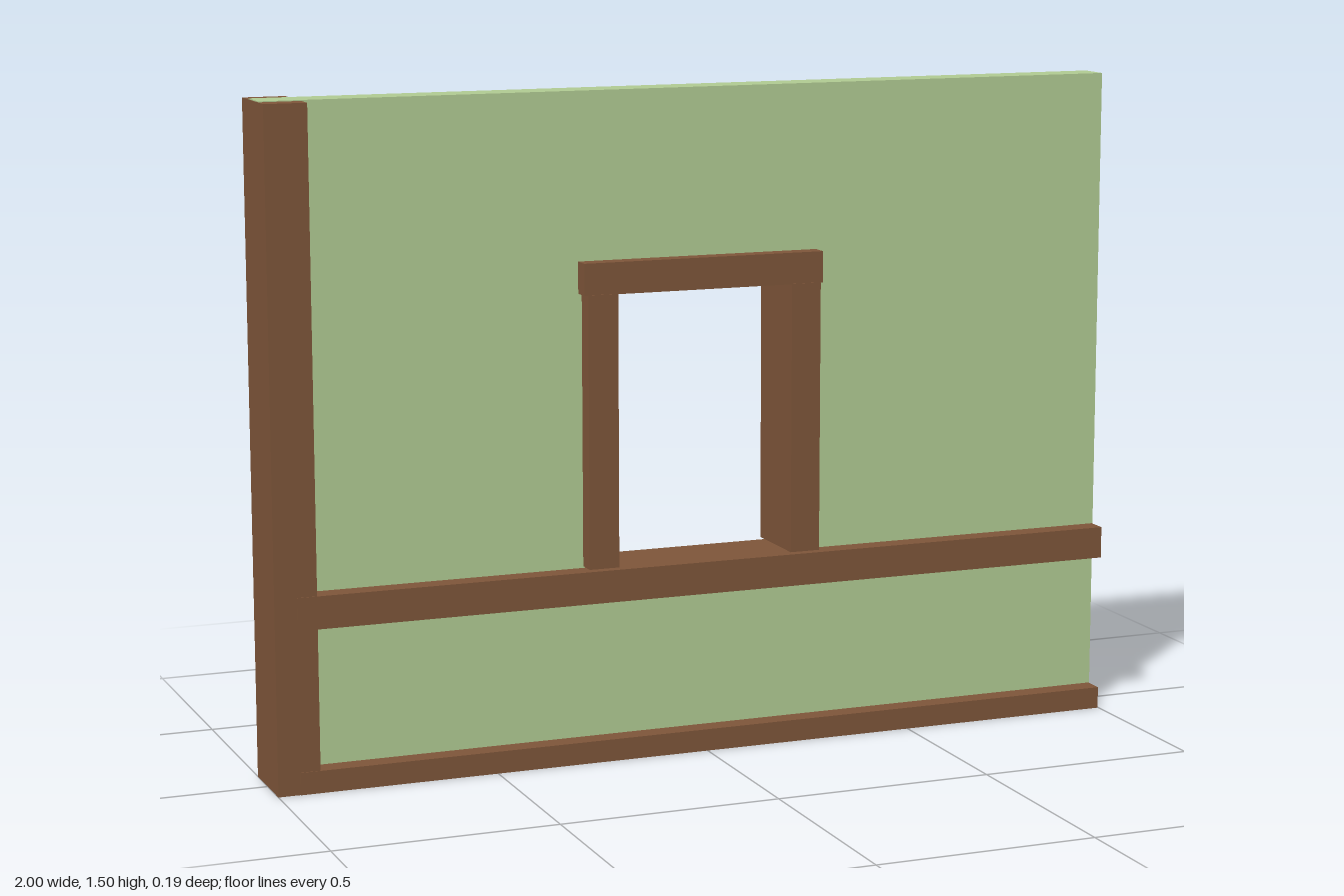
import * as THREE from 'three';

export function createModel() {
  const group = new THREE.Group();
  group.name = 'wallWithWindow';
  const plaster = new THREE.MeshStandardMaterial({ color: 0xb0ca92 });
  plaster.name = 'green plaster';
  const timber = new THREE.MeshStandardMaterial({ color: 0x7d5539 });
  timber.name = 'brown timber';

  // Plaster panel with a window hole hidden behind the frame
  const panel = new THREE.Shape();
  panel.moveTo(-0.998, 0.002).lineTo(1, 0.002).lineTo(1, 1.5).lineTo(-0.998, 1.5).closePath();
  const hole = new THREE.Path();
  hole.moveTo(-0.245, 0.4).lineTo(-0.245, 1.09).lineTo(0.24, 1.09).lineTo(0.24, 0.4).closePath();
  panel.holes.push(hole);
  const wallGeometry = new THREE.ExtrudeGeometry(panel, { depth: 0.079, bevelEnabled: false });
  wallGeometry.translate(0, 0, -0.035);
  const wall = new THREE.Mesh(wallGeometry, plaster);
  wall.name = 'wallPanel';
  group.add(wall);

  // Timber beam given by its minimum and maximum along each axis
  const beam = (name, [x0, x1], [y0, y1], [z0, z1]) => {
    const geometry = new THREE.BoxGeometry(x1 - x0, y1 - y0, z1 - z0);
    geometry.translate((x0 + x1) / 2, (y0 + y1) / 2, (z0 + z1) / 2);
    const mesh = new THREE.Mesh(geometry, timber);
    mesh.name = name;
    group.add(mesh);
  };

  // Corner post and horizontal rails run through the full wall depth
  beam('cornerPost', [-1, -0.905], [0, 1.498], [-0.084, 0.09]);
  beam('bottomRail', [-0.95, 0.998], [0, 0.05], [-0.082, 0.092]);
  beam('middleRail', [-0.95, 0.998], [0.365, 0.438], [-0.082, 0.092]);

  // Window frame
  beam('rightJamb', [-0.28, -0.21], [0.442, 1.056], [-0.091, 0.086]);
  beam('leftJamb', [0.205, 0.275], [0.442, 1.056], [-0.091, 0.086]);
  beam('lintel', [-0.288, 0.281], [1.055, 1.126], [-0.093, 0.084]);

  return group;
}
